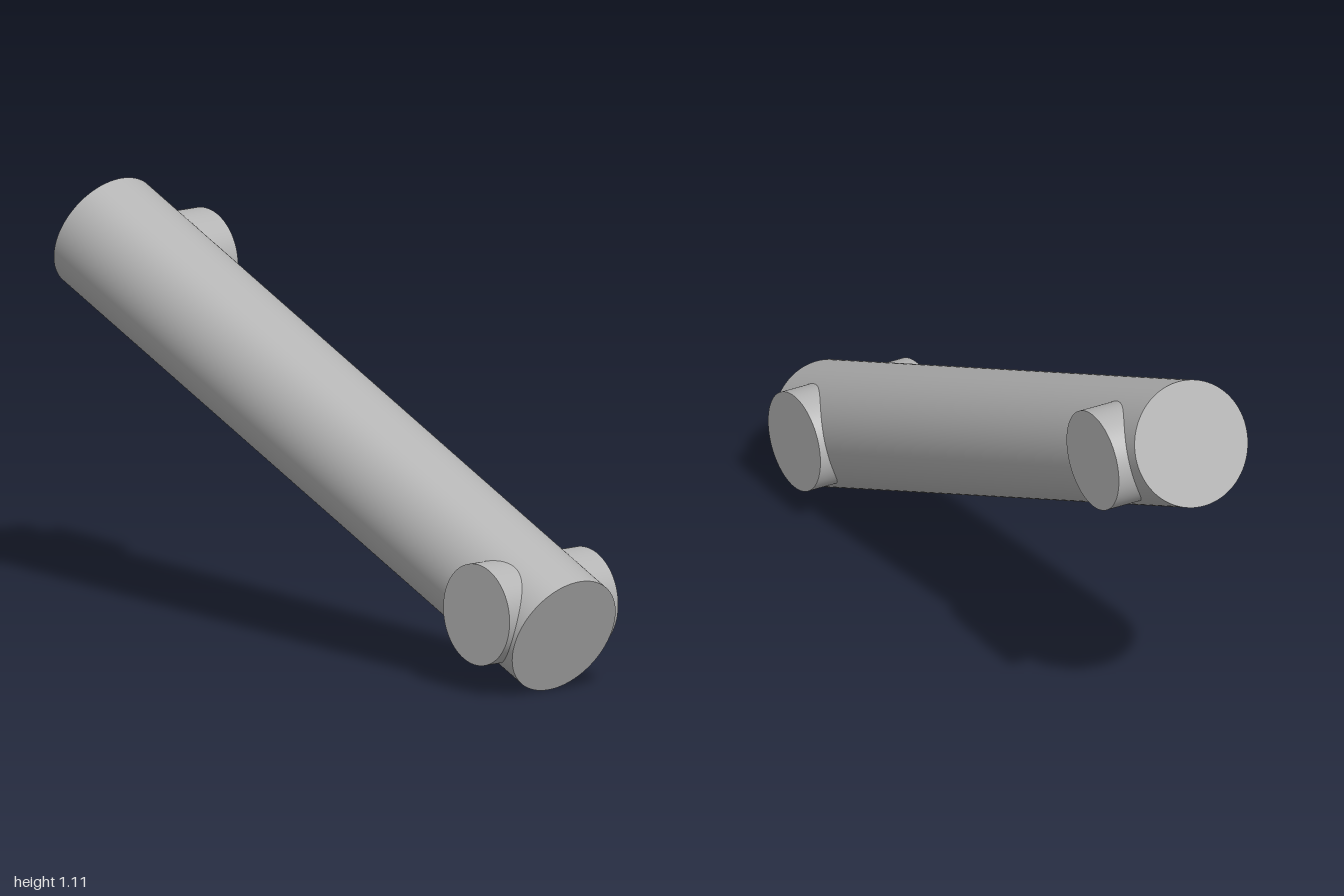
import * as THREE from 'three';

export function createModel() {
  const group = new THREE.Group();
  const grey = new THREE.MeshStandardMaterial({ color: 0xb4b4b4 });
  grey.name = 'plain grey';

  // Solid round bar between two points
  function rod(name, from, to, radius) {
    const a = new THREE.Vector3(...from);
    const b = new THREE.Vector3(...to);
    const dir = b.clone().sub(a);
    const mesh = new THREE.Mesh(new THREE.CylinderGeometry(radius, radius, dir.length(), 96), grey);
    mesh.name = name;
    mesh.position.copy(a).add(b).multiplyScalar(0.5);
    mesh.quaternion.setFromUnitVectors(new THREE.Vector3(0, 1, 0), dir.normalize());
    group.add(mesh);
  }

  // Sloping main bar
  const axisX = -0.01;
  rod('mainBar', [axisX, 0.156, 0.934], [axisX, 0.955, -0.931], 0.168);

  // Short side pegs, rooted on the bar's axis
  const pegs = [
    ['frontLeftPeg', 0.177, 0.215, 0.798],
    ['frontRightPeg', -0.195, 0.215, 0.798],
    ['rearLeftPeg', 0.193, 0.885, -0.767],
  ];
  for (const [name, tip, y, z] of pegs) rod(name, [axisX, y, z], [tip, y, z], 0.135);

  return group;
}
